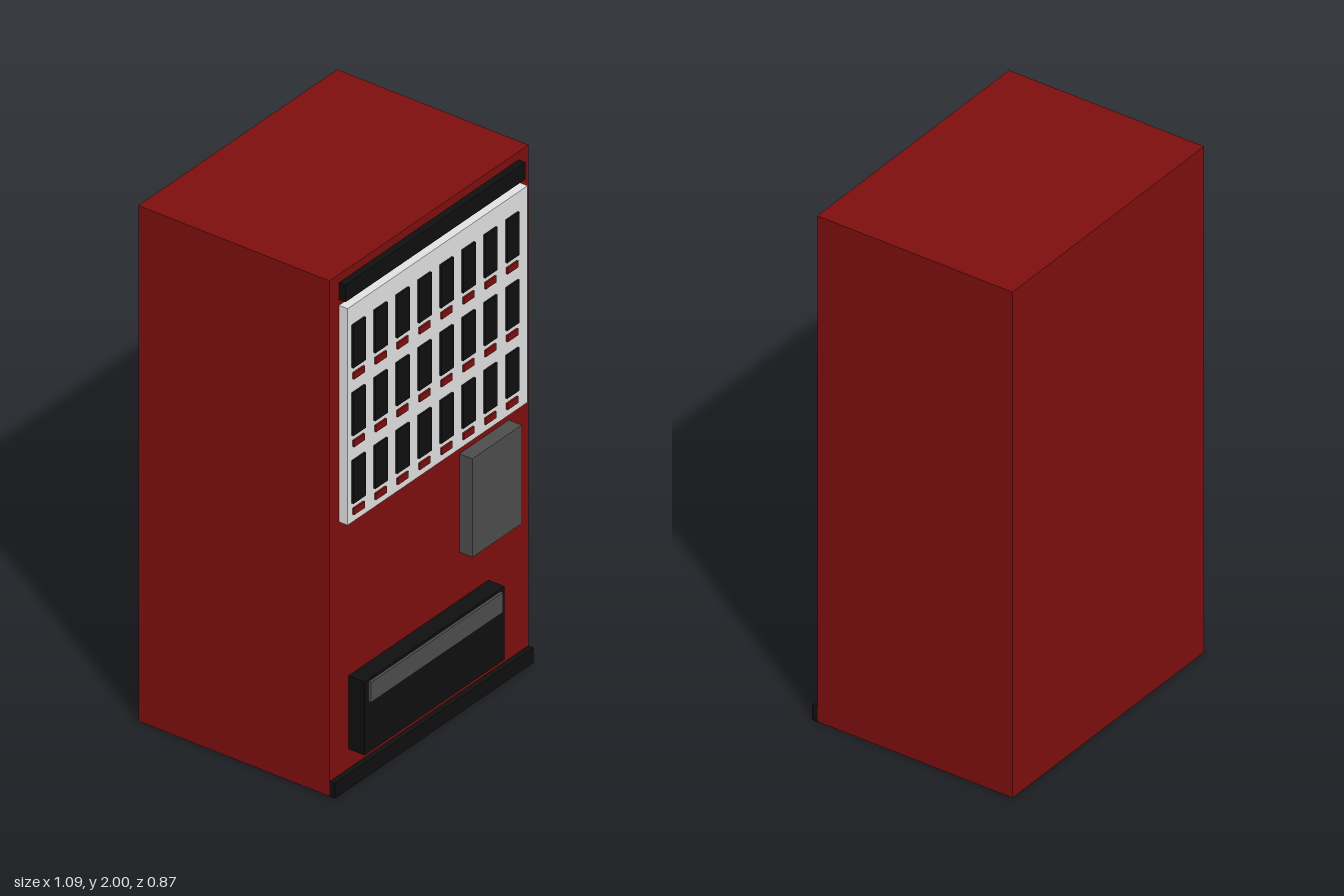
import * as THREE from 'three';

const mat = (name, color) => {
  const m = new THREE.MeshStandardMaterial({ color });
  m.name = name;
  return m;
};

export function createModel() {
  const red = mat('dark red', 0x7d0e0e);
  const black = mat('black', 0x0f0f0f);
  const white = mat('off white', 0xe0e0e0);
  const grey = mat('dark grey', 0x4c4c4c);
  const model = new THREE.Group();
  model.name = 'vendingMachine';

  // Box given by its limits on each axis
  const box = (name, material, [x0, x1], [y0, y1], [z0, z1], parent = model) => {
    const mesh = new THREE.Mesh(new THREE.BoxGeometry(x1 - x0, y1 - y0, z1 - z0), material);
    mesh.position.set((x0 + x1) / 2, (y0 + y1) / 2, (z0 + z1) / 2);
    mesh.name = name;
    parent.add(mesh);
    return mesh;
  };

  const front = 0.36;
  box('cabinet', red, [-0.545, 0.545], [0, 2], [-0.436, front]);
  box('kickPlate', black, [-0.545, 0.545], [0, 0.058], [front, 0.382]);
  box('headerStrip', black, [-0.493, 0.493], [1.902, 1.968], [front, 0.387]);
  box('displayPanel', white, [-0.493, 0.493], [1.04, 1.88], [front, 0.396]);

  // Three rows of eight products, each with a button below
  const products = new THREE.Group();
  products.name = 'products';
  model.add(products);
  for (let row = 0; row < 3; row++) {
    for (let col = 0; col < 8; col++) {
      const x = -0.437 + col * 0.1203;
      const y = 1.724 - row * 0.263;
      box('product', black, [x - 0.034, x + 0.034], [y - 0.083, y + 0.083], [0.396, 0.404], products);
      box('button', red, [x - 0.029, x + 0.029], [y - 0.129, y - 0.104], [0.396, 0.403], products);
    }
  }

  // Payment box and delivery tray
  box('paymentBox', grey, [0.167, 0.438], [0.603, 0.985], [front, 0.414]);
  box('deliveryTray', black, [-0.44, 0.327], [0.133, 0.418], [front, 0.426]);
  box('trayFlap', grey, [-0.418, 0.306], [0.331, 0.408], [0.426, 0.436]);

  return model;
}
